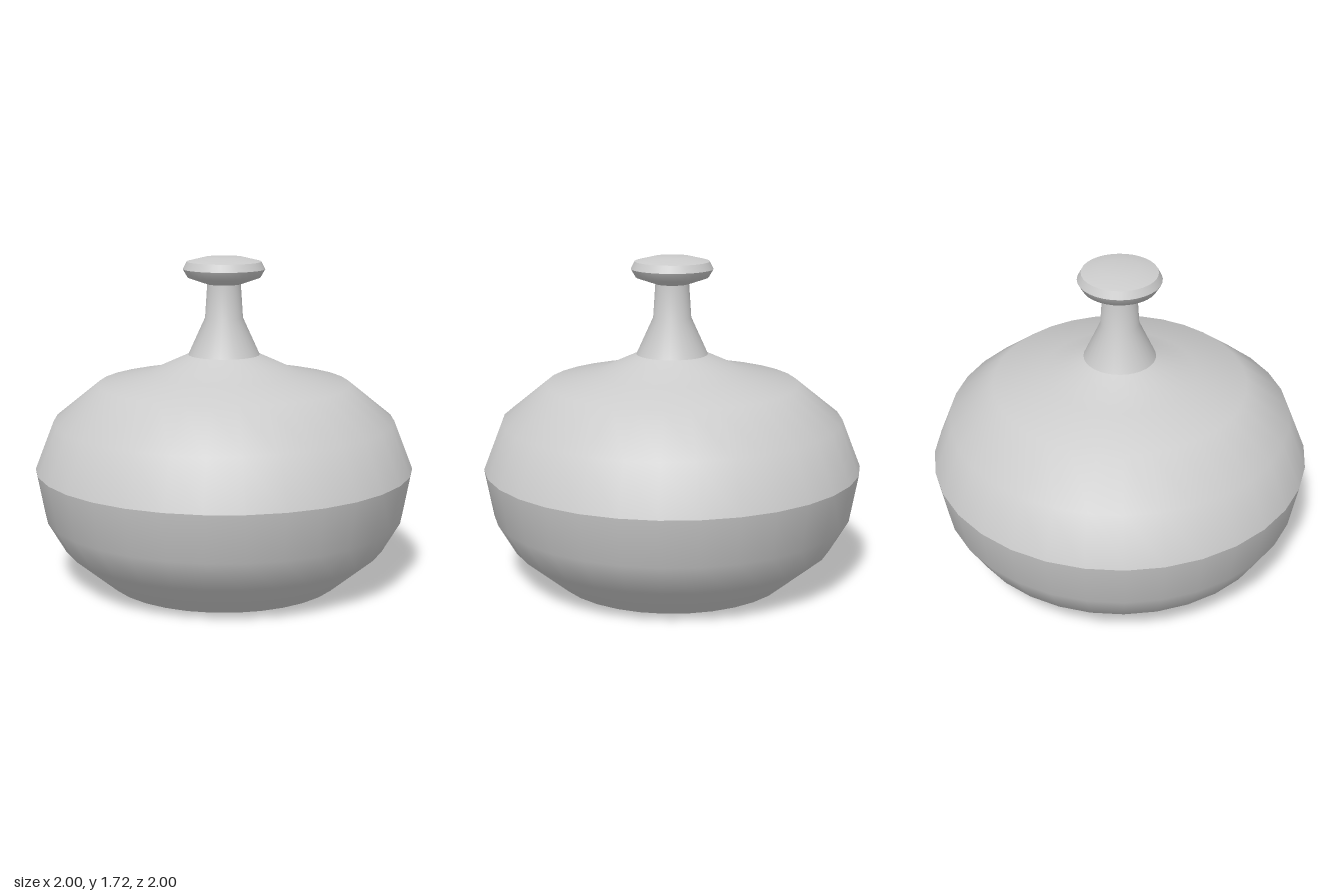
import * as THREE from 'three';

const material = new THREE.MeshStandardMaterial({ color: 0xcccccc });
const SIDES = 32;

// One smooth turned band, profile given bottom to top as [radius, height];
// separate bands meet at a hard edge.
function turned(name, profile) {
  const points = profile.map(([r, y]) => new THREE.Vector2(r, y));
  const mesh = new THREE.Mesh(new THREE.LatheGeometry(points, SIDES), material);
  mesh.name = name;
  return mesh;
}

function assembly(name, ...parts) {
  const group = new THREE.Group();
  group.name = name;
  group.add(...parts);
  return group;
}

export function createModel() {
  // Squat belly, creased at its widest ring
  const body = assembly('body',
    turned('base', [[0, 0], [0.63, 0]]),
    turned('lowerBelly', [[0.63, 0], [0.86, 0.195], [0.955, 0.36], [1, 0.61]]),
    turned('upperBelly', [[1, 0.61], [0.9, 0.865], [0.665, 1.055], [0.4, 1.11], [0.188, 1.207]]));

  // Flared neck
  const neck = turned('neck', [[0.188, 1.207], [0.1, 1.4], [0.088, 1.58]]);

  // Flattened stopper
  const stopper = assembly('stopper',
    turned('stopperUnderside', [[0.088, 1.577], [0.19, 1.612], [0.215, 1.655]]),
    turned('stopperRim', [[0.215, 1.655], [0.195, 1.694]]),
    turned('stopperTop', [[0.195, 1.694], [0.1, 1.717], [0, 1.717]]));

  return assembly('bottle', body, neck, stopper);
}
